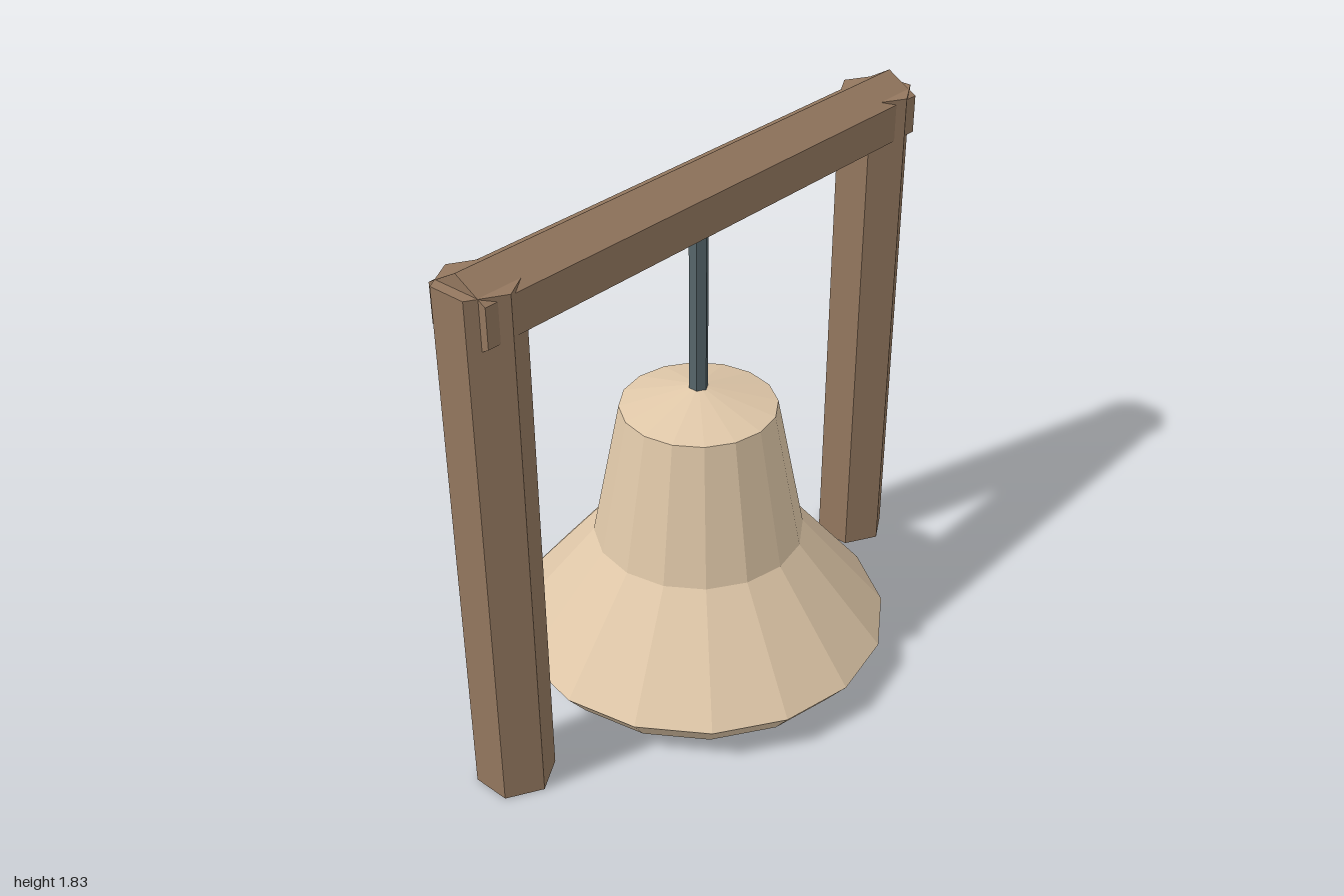
import * as THREE from 'three';

const material = (color) => new THREE.MeshStandardMaterial({ color, flatShading: true });

export function createModel() {
  const model = new THREE.Group();
  model.name = 'hangingBell';
  const wood = material(0x94785f);
  const clay = material(0xdfc7a8);
  const metal = material(0x56666b);

  // Six-sided upright bar between two heights
  const hexBar = (name, radius, y0, y1, mat) => {
    const geometry = new THREE.CylinderGeometry(radius, radius, y1 - y0, 6);
    const mesh = new THREE.Mesh(geometry, mat);
    mesh.name = name;
    mesh.position.y = (y0 + y1) / 2;
    model.add(mesh);
    return mesh;
  };

  // Posts
  for (const side of [1, -1]) {
    const post = hexBar(side > 0 ? 'leftPost' : 'rightPost', 0.128, 0, 1.78, wood);
    post.position.x = side * 0.889;
  }

  // Crossbeam with a ridge on top, lying along x
  const beamGeometry = new THREE.CylinderGeometry(0.127, 0.127, 1.93, 6);
  beamGeometry.rotateZ(Math.PI / 2);
  beamGeometry.rotateX(Math.PI / 2);
  const beam = new THREE.Mesh(beamGeometry, wood);
  beam.name = 'crossbeam';
  beam.position.y = 1.7;
  model.add(beam);

  // Hanging rod and clapper
  hexBar('hangingRod', 0.032, 0.5, 1.62, metal);
  hexBar('clapper', 0.058, 0.045, 0.55, metal);

  // Bell: inner wall down to the lip, then the outer wall up to the crown
  const profile = [
    [0, 0.9], [0.19, 0.86], [0.26, 0.31], [0.57, 0.037],
    [0.645, 0.132], [0.355, 0.487], [0.26, 0.972], [0, 1.045],
  ].map(([r, y]) => new THREE.Vector2(r, y));
  const bell = new THREE.Mesh(new THREE.LatheGeometry(profile, 16), clay);
  bell.name = 'bell';
  model.add(bell);

  return model;
}
